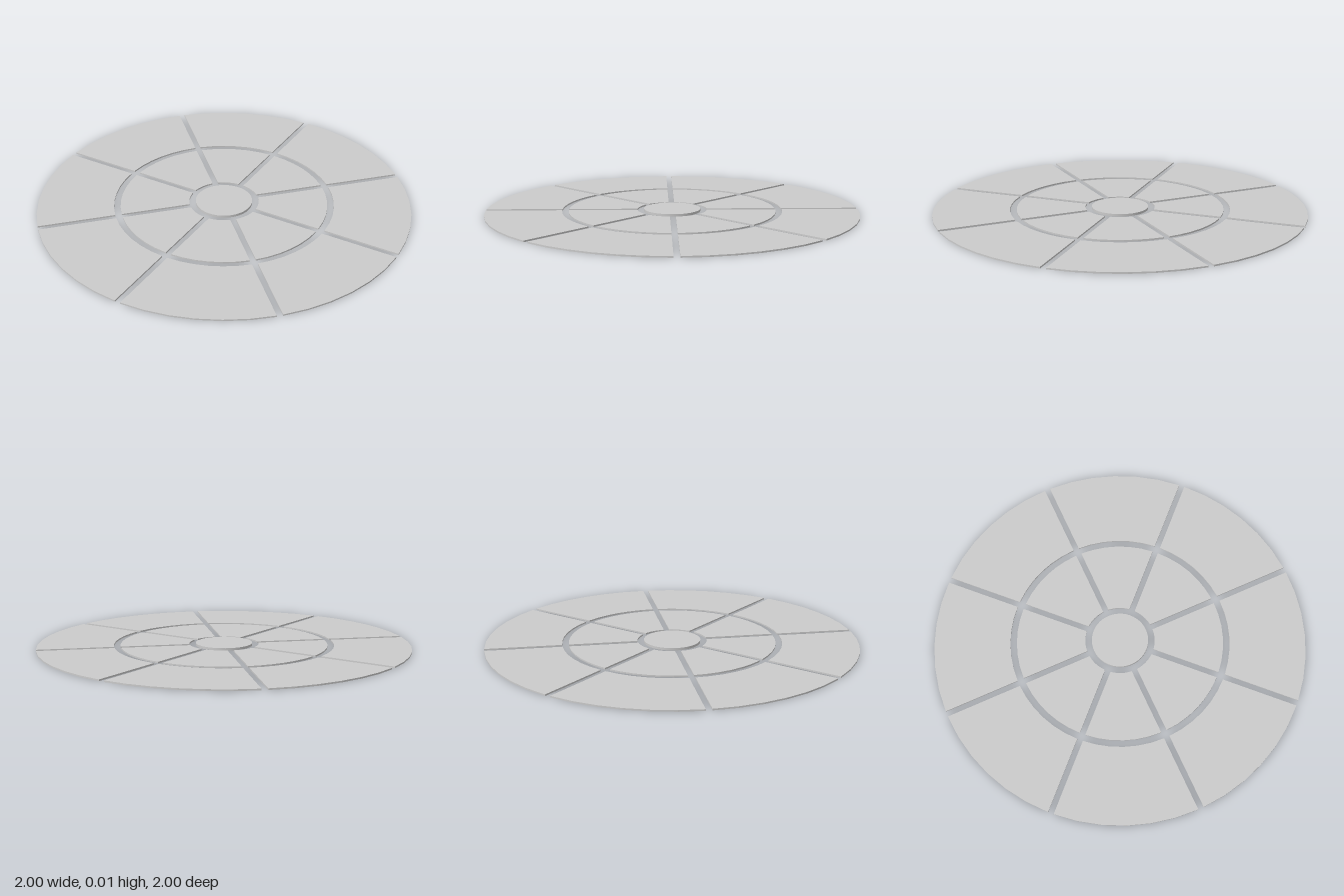
import * as THREE from 'three';

const SECTORS = 8;
const HALF_GAP = 0.0155; // half the width of the straight slots
const PLATE_HEIGHT = 0.008;
const HUB_HEIGHT = 0.013;

// Arc points centred on angle 0, ending on lines parallel to the slots
function arc(radius, segments) {
  const half = Math.PI / SECTORS - Math.asin(HALF_GAP / radius);
  return Array.from({ length: segments + 1 }, (_, i) => {
    const a = -half + (2 * half * i) / segments;
    return new THREE.Vector2(radius * Math.cos(a), radius * Math.sin(a));
  });
}

// Flat ring-sector plate lying on the ground
function plateGeometry(inner, outer) {
  const shape = new THREE.Shape([...arc(outer, 6), ...arc(inner, 6).reverse()]);
  const geometry = new THREE.ExtrudeGeometry(shape, { depth: PLATE_HEIGHT, bevelEnabled: false });
  return geometry.rotateX(-Math.PI / 2);
}

export function createModel() {
  const model = new THREE.Group();
  model.name = 'segmentedDisc';
  const material = new THREE.MeshStandardMaterial({ color: 0xcccccc });

  // Two rings of eight plates
  const rings = [['innerPlate', 0.187, 0.556], ['outerPlate', 0.591, 1]];
  for (const [name, inner, outer] of rings) {
    const geometry = plateGeometry(inner, outer);
    for (let i = 0; i < SECTORS; i++) {
      const plate = new THREE.Mesh(geometry, material);
      plate.name = name + (i + 1);
      plate.rotation.y = (i * 2 * Math.PI) / SECTORS;
      model.add(plate);
    }
  }

  // Slightly thicker round hub
  const hub = new THREE.Mesh(new THREE.CylinderGeometry(0.152, 0.152, HUB_HEIGHT, 48), material);
  hub.name = 'hub';
  hub.position.y = HUB_HEIGHT / 2;
  model.add(hub);

  return model;
}
